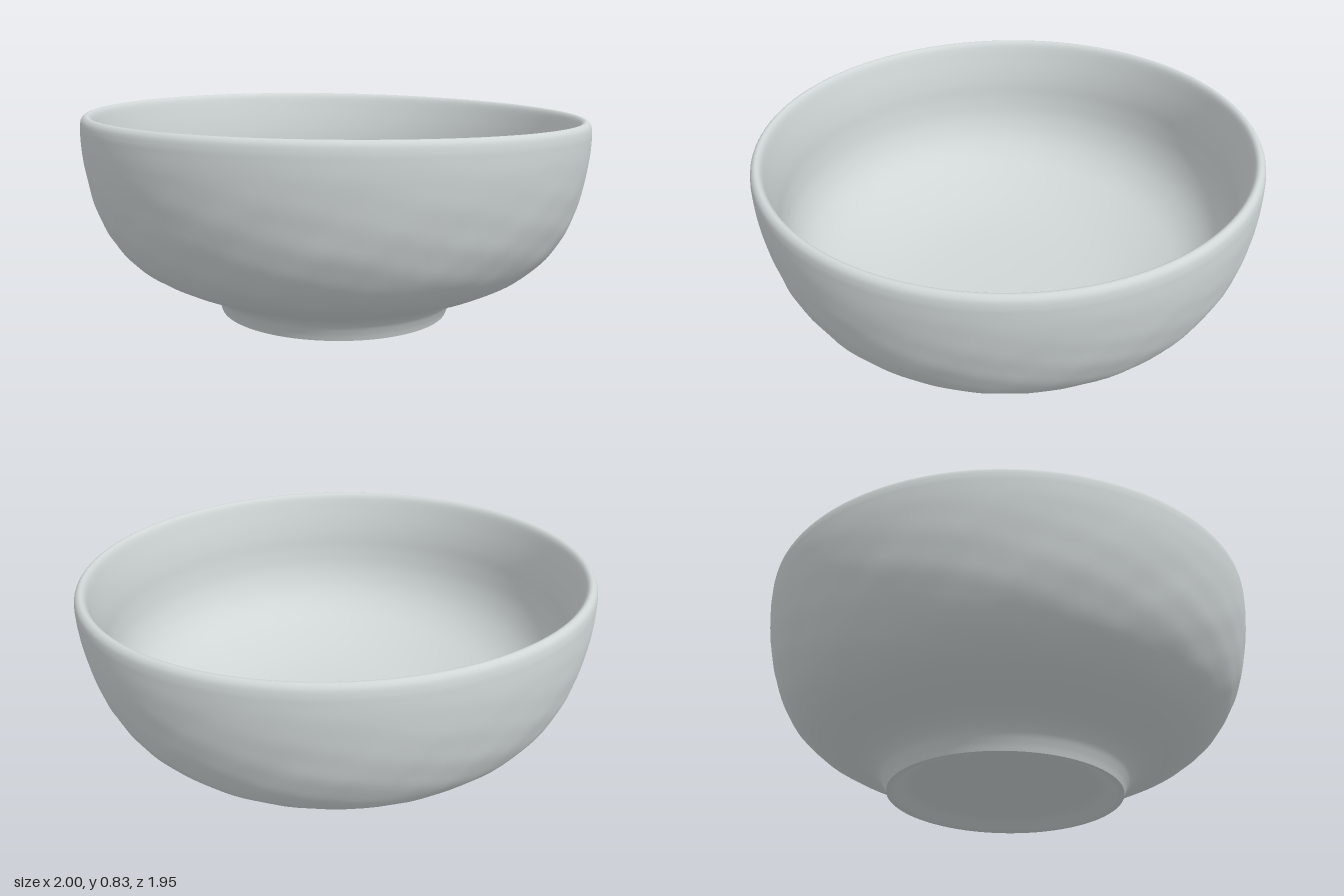
import * as THREE from 'three';
import { mergeVertices } from 'three/addons/utils/BufferGeometryUtils.js';

const v2 = ([x, y]) => new THREE.Vector2(x, y);

// Smooth curve through a few profile points
const smooth = (points, count) => new THREE.SplineCurve(points.map(v2)).getPoints(count);

// Soft hand-made unevenness, seamless around the bowl
function dent(a, y) {
  return Math.sin(7 * a + 9 * y) * Math.sin(13 * y + 3 * a)
    + 0.7 * Math.sin(17 * a - 21 * y) * Math.sin(29 * y + 5 * a)
    + 0.5 * Math.sin(31 * a + 37 * y + 2 * Math.sin(4 * a));
}

// Lathe a profile, then make it slightly oval, leaning and uneven
function turned(profile, roughness = 0) {
  let geometry = new THREE.LatheGeometry(profile, 128);
  geometry.deleteAttribute('uv');
  geometry.deleteAttribute('normal');
  geometry = mergeVertices(geometry, 1e-5);
  const p = geometry.attributes.position;
  for (let i = 0; i < p.count; i++) {
    let x = p.getX(i), z = p.getZ(i);
    const y = p.getY(i), r = Math.hypot(x, z);
    // only the outer wall is dented, fading out at foot and rim
    const outside = r > 0.5 && r > outerRadius(y) - 0.02 ? 1 : 0;
    const fade = Math.max(0, Math.min(1, (y - 0.1) / 0.1, (0.74 - y) / 0.3));
    const k = 1 + roughness * outside * fade * dent(Math.atan2(z, x), y);
    const low = 1 - y / 0.81;
    x = x * k - 0.01 * low;
    z = z * k * (1 - 0.025 * (1 - low)) - 0.012 * low;
    p.setXYZ(i, x, y - 0.0105 * x - 0.016 * z + 0.006 * y * (z * z - x * x), z);
  }
  geometry.computeVertexNormals();
  return geometry;
}

const outer = [
  [0.462, 0.01], [0.474, 0.04], [0.495, 0.075], [0.535, 0.107], [0.6, 0.138], [0.69, 0.173], [0.79, 0.23],
  [0.875, 0.315], [0.937, 0.43], [0.975, 0.56], [0.994, 0.68], [0.998, 0.765],
];
const rim = [[0.998, 0.765], [0.994, 0.795], [0.981, 0.811], [0.966, 0.811], [0.953, 0.795], [0.942, 0.76]];
const inner = [
  [0.942, 0.76], [0.924, 0.69], [0.911, 0.62], [0.902, 0.54], [0.882, 0.45], [0.835, 0.36],
  [0.755, 0.285], [0.65, 0.235], [0.5, 0.19], [0.35, 0.165], [0.17, 0.153], [0, 0.15],
];

// Radius of the outer wall at a given height
function outerRadius(y) {
  for (let i = 1; i < outer.length; i++) {
    const [r0, y0] = outer[i - 1], [r1, y1] = outer[i];
    if (y <= y1) return r0 + (r1 - r0) * (y - y0) / (y1 - y0);
  }
  return 1;
}

export function createModel() {
  const group = new THREE.Group();
  group.name = 'bowl';
  const glaze = new THREE.MeshStandardMaterial({ color: 0xd0d6d6 });
  glaze.name = 'pale grey glaze';

  const add = (name, geometry) => {
    const mesh = new THREE.Mesh(geometry, glaze);
    mesh.name = name;
    group.add(mesh);
  };

  // Outer wall, thin rounded rim and inside in one continuous skin
  const wall = [
    ...smooth(outer, 64),
    ...smooth(rim, 16).slice(1),
    ...smooth(inner, 44).slice(1),
  ];
  wall[wall.length - 1].x = 0;
  add('bowlWall', turned(wall, 0.0024));

  // Recessed base, running softly into the sloping foot ring
  add('footBase', turned([
    [0, 0.05], [0.2, 0.05], [0.34, 0.05], [0.375, 0.046], [0.4, 0.035], [0.43, 0.017], [0.447, 0.01], [0.462, 0.01],
  ].map(v2)));
  return group;
}
